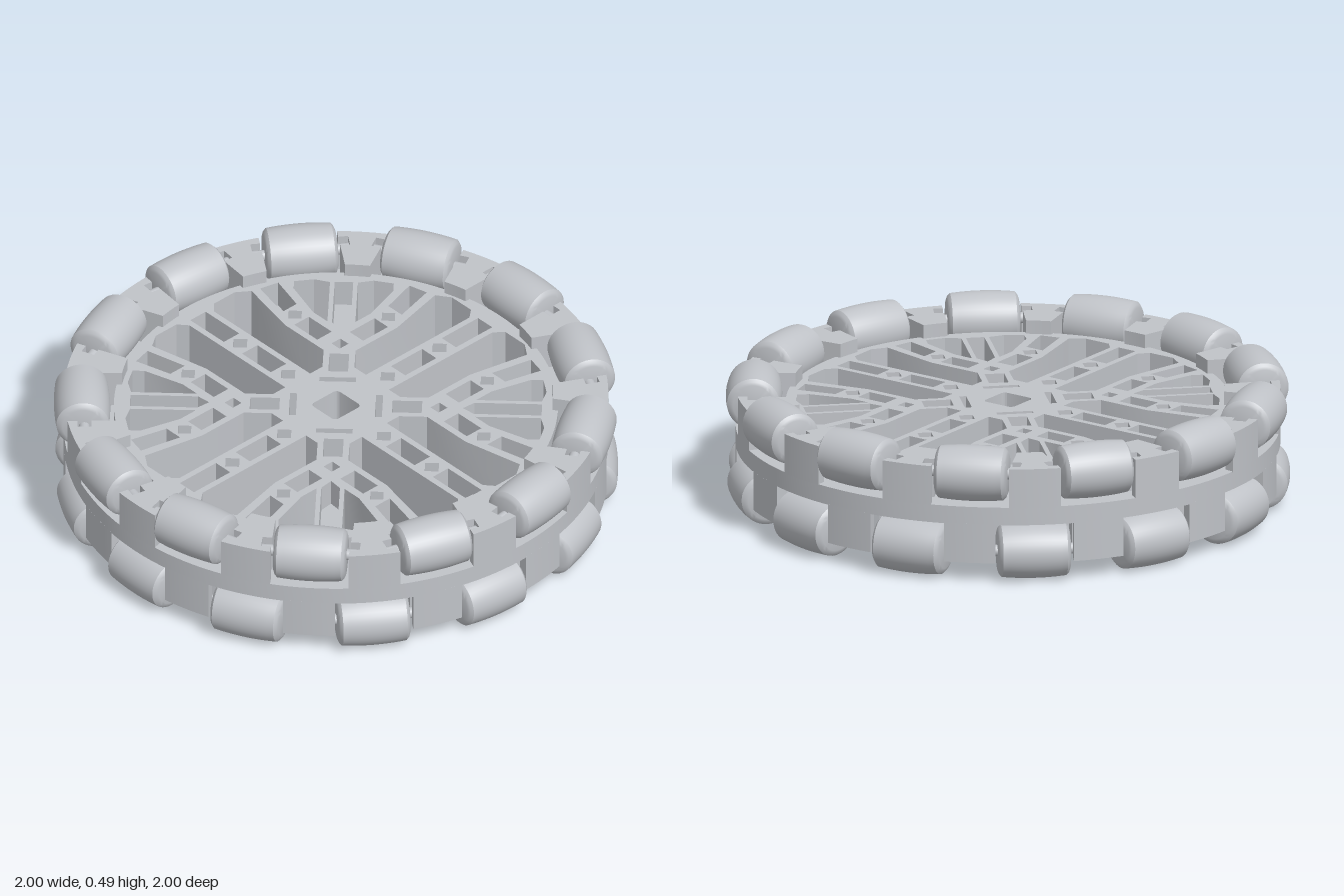
import * as THREE from 'three';
import { toCreasedNormals } from 'three/addons/utils/BufferGeometryUtils.js';

const COUNT = 13, STEP = (Math.PI * 2) / COUNT;
const V = (x, y) => new THREE.Vector2(x, y);
const grey = new THREE.MeshStandardMaterial({ color: 0xc0c3c8 });
grey.name = 'light grey';

// Plan outline extruded upwards from y0 to y1
function slab(name, shape, y0, y1) {
  const geo = new THREE.ExtrudeGeometry(shape, { depth: y1 - y0, bevelEnabled: false, curveSegments: 78 });
  geo.rotateX(-Math.PI / 2).translate(0, y0, 0);
  const mesh = new THREE.Mesh(toCreasedNormals(geo, 0.4), grey);
  mesh.name = name;
  return mesh;
}

function disc(outer, inner) {
  const s = new THREE.Shape().absarc(0, 0, outer, 0, Math.PI * 2, false);
  if (inner) s.holes.push(new THREE.Path().absarc(0, 0, inner, 0, Math.PI * 2, true));
  return s;
}

const rect = (a0, a1, b) => [[a0, -b], [a1, -b], [a1, b], [a0, b]];
const diamond = (a, b, r) => [[a - r, b], [a, b - r], [a + r, b], [a, b + r]];
const turn = (pts, angle) => pts.map(([a, b]) => [
  a * Math.cos(angle) - b * Math.sin(angle), a * Math.sin(angle) + b * Math.cos(angle)]);
const flip = (pts) => pts.map(([a, b]) => [a, -b]).reverse();

// Openings of the spoked centre: a runs along a spoke, b across it
function openings() {
  const through = [], pockets = [];
  const windowA = [[0.2, 0.06], [0.7, 0.06], [0.735, 0.09], [0.735, 0.19], [0.7, 0.24],
    [0.47, 0.19], [0.27, 0.19], [0.2, 0.12]];
  const windowB = [[0.385, 0.315], [0.46, 0.315], [0.61, 0.36], [0.64, 0.39], [0.6, 0.45], [0.55, 0.48]];
  const armPocket = [[0.33, 0.215], [0.45, 0.215], [0.45, 0.285], [0.33, 0.285]];
  const outerPocket = [[0.535, 0.235], [0.69, 0.272], [0.672, 0.343], [0.535, 0.305]];
  for (let q = 0; q < 4; q++) {
    const angle = (q * Math.PI) / 2, diagonal = angle + Math.PI / 4;
    for (const side of [(p) => p, flip]) {
      through.push(...[windowA, windowB, diamond(0.492, 0.258, 0.033)].map((p) => turn(side(p), angle)));
      pockets.push(...[armPocket, outerPocket].map((p) => turn(side(p), angle)));
    }
    through.push(turn(diamond(0.25, 0, 0.035), angle), turn(diamond(0.5, 0, 0.035), angle));
    through.push(turn(diamond(0.365, 0, 0.03), diagonal));
    pockets.push(turn(rect(0.3, 0.45, 0.037), angle), turn(rect(0.545, 0.72, 0.037), angle));
    pockets.push(turn([[0.45, 0], [0.49, -0.033], [0.73, -0.033], [0.73, 0.033], [0.49, 0.033]], diagonal));
    pockets.push(turn(rect(0.2, 0.305, 0.035), diagonal));
    pockets.push(turn([[0.14, -0.065], [0.165, -0.065], [0.165, 0.065], [0.14, 0.065]], diagonal));
  }
  return { through, pockets };
}

// Rounded square bore for the shaft
function bore() {
  const h = 0.064, r = 0.018, p = new THREE.Path();
  [[h, h], [-h, h], [-h, -h], [h, -h]].forEach(([x, y], i) =>
    p.absarc(x - Math.sign(x) * r, y - Math.sign(y) * r, r, (i * Math.PI) / 2, ((i + 1) * Math.PI) / 2, false));
  return p;
}

function centre() {
  const { through, pockets } = openings();
  const plan = (holes) => {
    const s = disc(0.775);
    s.holes = holes.map((pts) => new THREE.Path(pts.map(([x, y]) => V(x, y))));
    s.holes.push(bore());
    return s;
  };
  const group = new THREE.Group();
  group.name = 'spokedCentre';
  group.add(slab('spokes', plan([...through, ...pockets]), 0.12, 0.37));
  group.add(slab('pocketFloor', plan(through), 0.22, 0.27));
  return group;
}

// Rim block between two roller bays, notched for the axle ends
function blockShape() {
  const inner = 0.768, outer = 0.965, w = 0.14;
  const bay = (r, t) => turn([[r, t]], -STEP / 2)[0];
  const edge = [bay(Math.sqrt(inner ** 2 - w ** 2), w), bay(0.87, w), bay(0.87, 0.175),
    bay(0.92, 0.175), bay(0.92, w), bay(Math.sqrt(outer ** 2 - w ** 2), w)];
  const a = STEP / 2 - Math.asin(w / outer), b = STEP / 2 - Math.asin(w / inner);
  const pts = edge.map(([x, y]) => V(x, y));
  for (let i = 1; i < 8; i++) {
    const t = -a + (2 * a * i) / 8;
    pts.push(V(outer * Math.cos(t), outer * Math.sin(t)));
  }
  pts.push(...edge.map(([x, y]) => V(x, -y)).reverse());
  for (let i = 1; i < 4; i++) {
    const t = b - (2 * b * i) / 4;
    pts.push(V(inner * Math.cos(t), inner * Math.sin(t)));
  }
  return new THREE.Shape(pts);
}

// Barrel roller whose crown follows the wheel circle
function rollerGeometry() {
  const pts = [V(0, -0.128), V(0.072, -0.128), V(0.083, -0.124)];
  for (let i = 0; i <= 10; i++) {
    const t = -0.115 + 0.023 * i;
    pts.push(V(Math.sqrt(1 - t * t) - 0.9, t));
  }
  pts.push(V(0.083, 0.124), V(0.072, 0.128), V(0, 0.128));
  return toCreasedNormals(new THREE.LatheGeometry(pts, 40).rotateX(Math.PI / 2), 0.7);
}

export function createModel() {
  const model = new THREE.Group();
  model.name = 'rollerWheel';
  model.add(centre());
  model.add(slab('middleRing', disc(0.965, 0.766), 0.212, 0.278));
  model.add(slab('innerWall', disc(0.787, 0.764), 0.12, 0.37));

  const roller = rollerGeometry();
  const pin = new THREE.CylinderGeometry(0.02, 0.02, 0.36, 16).rotateX(Math.PI / 2);
  const layers = [
    { name: 'upper', start: Math.PI / 2, y: 0.385, block: [0.275, 0.42] },
    { name: 'lower', start: -Math.PI / 2, y: 0.1, block: [0.07, 0.215] },
  ];
  for (const layer of layers) {
    const block = slab('block', blockShape(), ...layer.block).geometry;
    for (let i = 0; i < COUNT; i++) {
      const unit = new THREE.Group();
      unit.name = layer.name + 'RollerUnit';
      unit.rotation.y = layer.start + i * STEP;
      const add = (name, geo, x, y) => {
        const mesh = new THREE.Mesh(geo, grey);
        mesh.name = name;
        mesh.position.set(x, y, 0);
        unit.add(mesh);
        return mesh;
      };
      add('roller', roller, 0.9, layer.y);
      add('axle', pin, 0.895, layer.y);
      add('rimBlock', block, 0, 0).rotation.y = STEP / 2;
      model.add(unit);
    }
  }
  return model;
}
